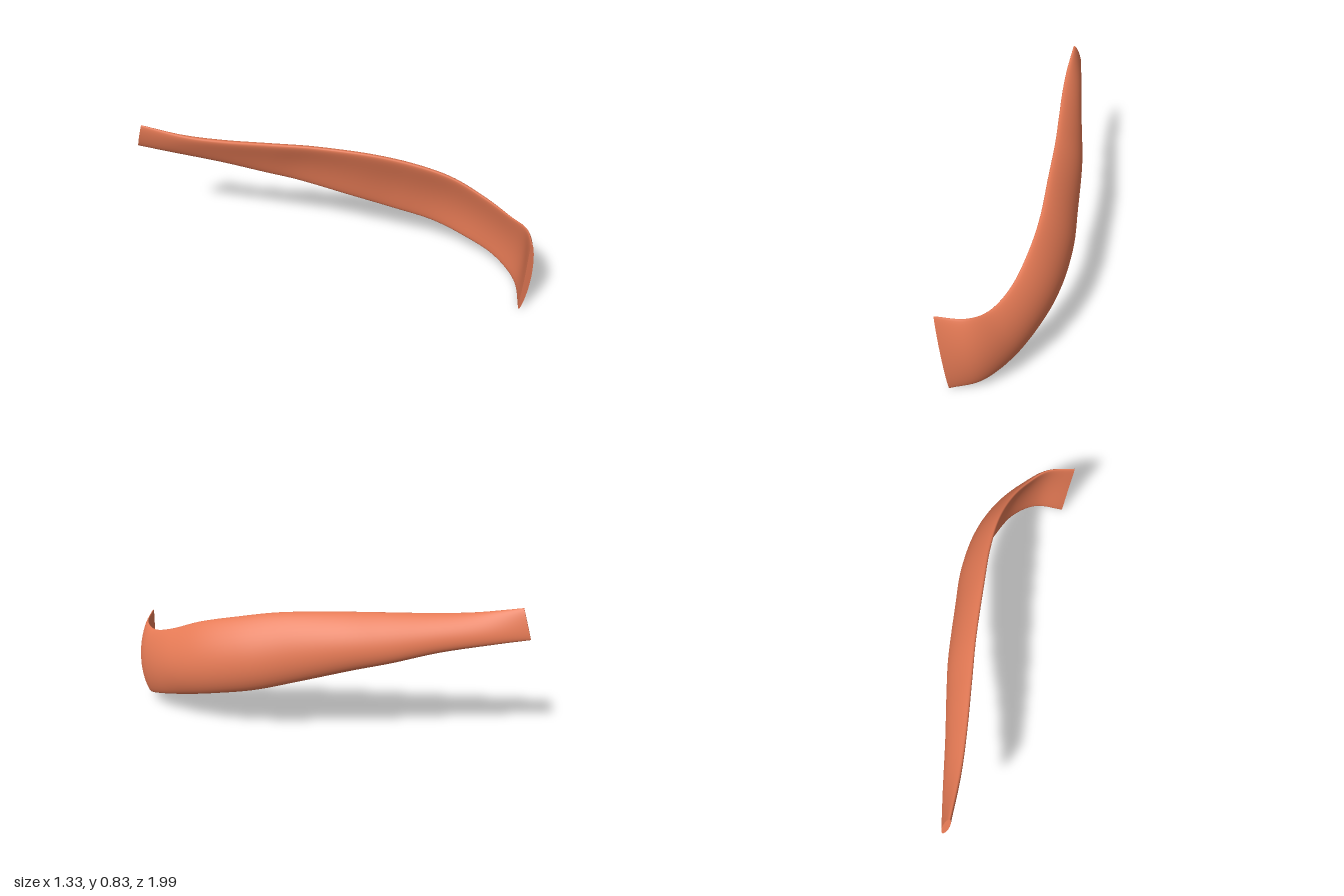
import * as THREE from 'three';

// Stations along the strap: top edge xyz, bottom edge xyz, outward bulge, thickness
const STATIONS = [
  [-0.65, 0.83, -0.93, -0.655, 0.67, -0.99, 0.0, 0.035],
  [-0.5, 0.785, -0.74, -0.53, 0.635, -0.86, 0.01, 0.065],
  [-0.35, 0.765, -0.57, -0.33, 0.575, -0.66, 0.02, 0.08],
  [-0.17, 0.755, -0.38, -0.15, 0.505, -0.49, 0.03, 0.09],
  [0, 0.745, -0.2, 0, 0.45, -0.34, 0.04, 0.095],
  [0.2, 0.72, 0.03, 0.2, 0.36, -0.12, 0.045, 0.1],
  [0.36, 0.675, 0.22, 0.36, 0.29, 0.06, 0.05, 0.1],
  [0.48, 0.62, 0.4, 0.5, 0.235, 0.26, 0.05, 0.085],
  [0.56, 0.54, 0.58, 0.58, 0.18, 0.45, 0.045, 0.07],
  [0.585, 0.49, 0.74, 0.625, 0.125, 0.64, 0.035, 0.05],
  [0.56, 0.495, 0.87, 0.6, 0.06, 0.82, 0.03, 0.045],
  [0.46, 0.51, 0.985, 0.49, 0, 0.95, 0.015, 0.035],
];
const LENGTH_STEPS = 110, RING = 40;

const curveOf = (pick) =>
  new THREE.CatmullRomCurve3(STATIONS.map((s) => new THREE.Vector3(...pick(s))), false, 'catmullrom');
const topEdge = curveOf((s) => s.slice(0, 3));
const bottomEdge = curveOf((s) => s.slice(3, 6));
const shape = curveOf((s) => [s[6], s[7], 0]);

// One closed crescent-shaped cross-section, listed from the top edge over the outer face
function ring(u) {
  const top = topEdge.getPoint(u), bottom = bottomEdge.getPoint(u);
  const { x: bulge, y: thickness } = shape.getPoint(u);
  const along = topEdge.getTangent(u).add(bottomEdge.getTangent(u));
  const outward = new THREE.Vector3(along.z, 0, -along.x).normalize();
  return Array.from({ length: RING }, (_, j) => {
    const a = (j / RING) * Math.PI * 2, v = Math.cos(a);
    const offset = bulge * (1 - v * v) + (thickness / 2) * Math.sin(a);
    return bottom.clone().lerp(top, (v + 1) / 2).addScaledVector(outward, offset);
  });
}

function buildGeometry(points, index) {
  const g = new THREE.BufferGeometry().setFromPoints(points);
  g.setIndex(index);
  g.computeVertexNormals();
  return g;
}

// Smooth skin through all cross-sections
function skinGeometry() {
  const points = [], index = [];
  for (let i = 0; i <= LENGTH_STEPS; i++) points.push(...ring(i / LENGTH_STEPS));
  for (let i = 0; i < LENGTH_STEPS; i++) {
    for (let j = 0; j < RING; j++) {
      const a = i * RING + j, b = i * RING + ((j + 1) % RING);
      index.push(a, a + RING, b, b, a + RING, b + RING);
    }
  }
  return buildGeometry(points, index);
}

// Flat end, bridged between the outer and inner halves of the ring
function capGeometry(u) {
  const index = [];
  for (let j = 0; j < RING / 2; j++) {
    const a = j, b = j + 1, c = (RING - j) % RING, d = RING - j - 1;
    if (u === 0) index.push(a, b, d, a, d, c);
    else index.push(a, d, b, a, c, d);
  }
  return buildGeometry(ring(u), index);
}

export function createModel() {
  const group = new THREE.Group();
  group.name = 'curvedStrap';
  const material = new THREE.MeshStandardMaterial({ color: 0xe57a55 });
  const add = (name, geometry) => {
    const mesh = new THREE.Mesh(geometry, material);
    mesh.name = name;
    group.add(mesh);
  };
  add('strapBody', skinGeometry());
  add('narrowEnd', capGeometry(0));
  add('wideEnd', capGeometry(1));
  return group;
}
